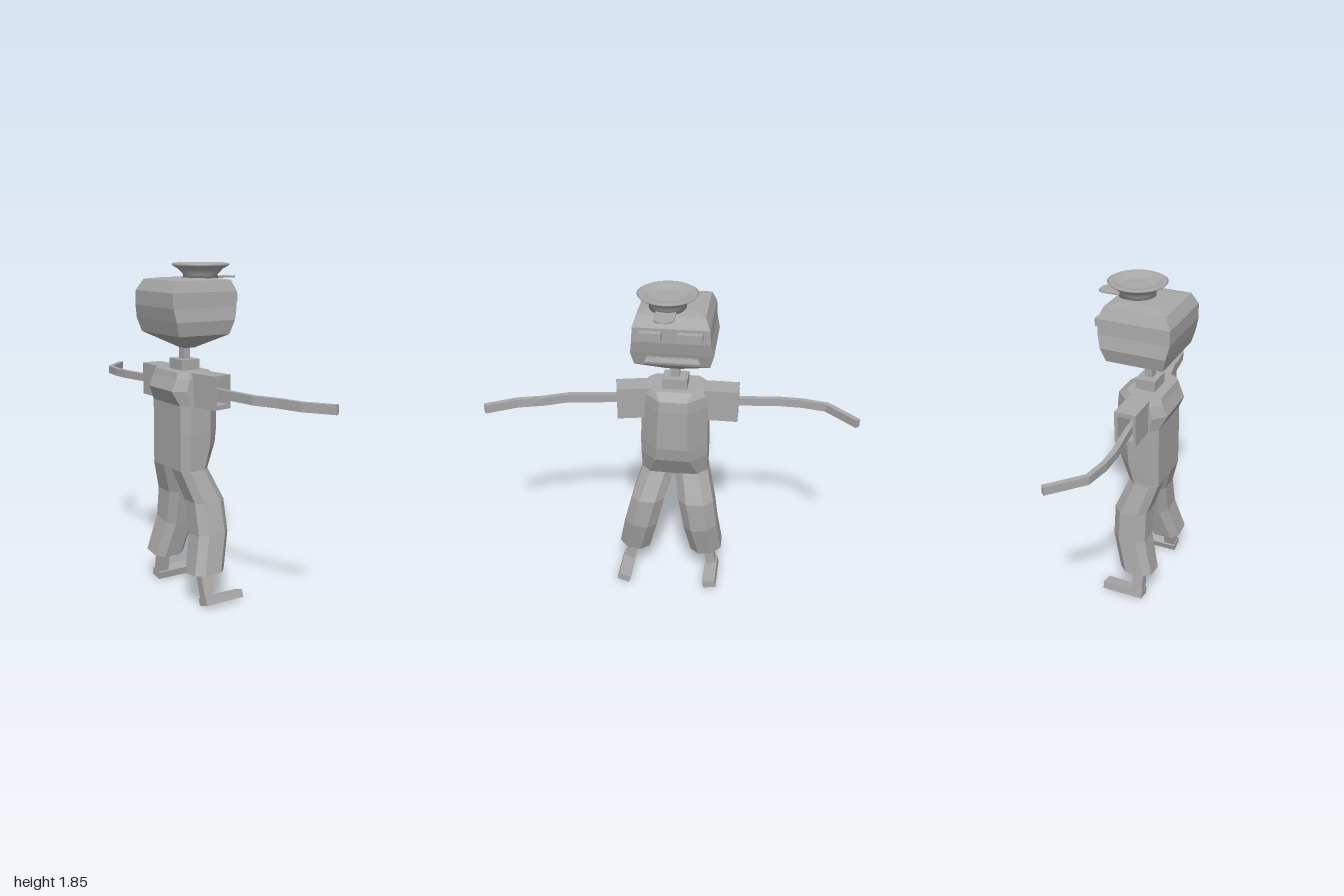
import * as THREE from 'three';

const grey = new THREE.MeshStandardMaterial({ color: 0xa8a8a8 });
grey.name = 'plain grey';

// Flat-shaded skin through cross-sections listed counter-clockwise along the direction of travel
function loft(rings, { capStart = true, capEnd = true, skip = () => false } = {}) {
  const pos = [];
  const tri = (a, b, c) => pos.push(...a, ...b, ...c);
  const n = rings[0].length;
  for (let r = 0; r < rings.length - 1; r++) {
    for (let i = 0; i < n; i++) {
      if (skip(r, i)) continue;
      const j = (i + 1) % n, lo = rings[r], hi = rings[r + 1];
      tri(lo[i], lo[j], hi[j]);
      tri(lo[i], hi[j], hi[i]);
    }
  }
  const first = rings[0], last = rings[rings.length - 1];
  for (let i = 1; i < n - 1; i++) {
    if (capStart) tri(first[0], first[i + 1], first[i]);
    if (capEnd) tri(last[0], last[i], last[i + 1]);
  }
  const g = new THREE.BufferGeometry();
  g.setAttribute('position', new THREE.Float32BufferAttribute(pos, 3));
  g.computeVertexNormals();
  return g;
}

// Horizontal rectangle and chamfered rectangle (front chamfer cf, back chamfer cb)
const rect = (y, x0, x1, z0, z1) => [[x1, y, z1], [x1, y, z0], [x0, y, z0], [x0, y, z1]];
const oct = (y, x0, x1, z0, z1, cf, cb, tilt = 0) => [
  [x1, z1 - cf], [x1, z0 + cf], [x1 - cf, z0], [x0 + cb, z0],
  [x0, z0 + cb], [x0, z1 - cb], [x0 + cb, z1], [x1 - cf, z1],
].map(([x, z]) => [x, y + tilt * (z - (z0 + z1) / 2), z]);

// Flat strap arm following [x, y, z] points with z rising
function armGeometry(path, w, h) {
  return loft(path.map(([x, y, z], i) => {
    const a = path[Math.max(0, i - 1)], b = path[Math.min(path.length - 1, i + 1)];
    const len = Math.hypot(b[0] - a[0], b[2] - a[2]);
    const nx = w * (b[2] - a[2]) / len, nz = -w * (b[0] - a[0]) / len;
    return [[1, -1], [1, 1], [-1, 1], [-1, -1]].map(([s, t]) => [x + s * nx, y + t * h, z + s * nz]);
  }));
}

export function createModel() {
  const model = new THREE.Group();
  model.name = 'figure';
  const add = (name, geometry, parent = model) => {
    const m = new THREE.Mesh(geometry, grey);
    m.name = name;
    parent.add(m);
    return m;
  };
  const box = (name, x0, x1, y0, y1, z0, z1, parent) => {
    const m = add(name, new THREE.BoxGeometry(x1 - x0, y1 - y0, z1 - z0), parent);
    m.position.set((x0 + x1) / 2, (y0 + y1) / 2, (z0 + z1) / 2);
    return m;
  };

  // Head, with the mouth strip left open at the front
  add('head', loft([
    rect(1.395, -0.07, -0.01, -0.04, 0.025),
    rect(1.475, -0.205, 0.11, -0.21, 0.185),
    rect(1.55, -0.225, 0.135, -0.23, 0.2),
    rect(1.62, -0.24, 0.152, -0.215, 0.19),
    rect(1.7, -0.24, 0.155, -0.21, 0.185),
    rect(1.76, -0.205, 0.13, -0.185, 0.165),
    rect(1.77, -0.13, 0.06, -0.11, 0.1),
  ], { skip: (r, i) => r === 1 && i === 0 }));
  add('mouth', loft([
    [[0.11, 1.475, 0.185], [0.11, 1.475, -0.21], [0.135, 1.55, -0.23], [0.135, 1.55, 0.2]],
    [[0.115, 1.49, 0.13], [0.115, 1.49, -0.16], [0.13, 1.535, -0.145], [0.13, 1.535, 0.115]],
    [[0.06, 1.49, 0.13], [0.06, 1.49, -0.16], [0.06, 1.535, -0.145], [0.06, 1.535, 0.115]],
  ], { capStart: false }));
  box('leftEye', 0.13, 0.186, 1.643, 1.685, 0.035, 0.147);
  box('rightEye', 0.13, 0.186, 1.643, 1.685, -0.175, -0.05);

  // Hat with dished crown and a thin peak
  const profile = [[0, 1.765], [0.098, 1.765], [0.092, 1.785], [0.12, 1.815], [0.15, 1.832],
    [0.157, 1.84], [0.145, 1.847], [0.115, 1.84], [0.085, 1.822], [0.05, 1.828], [0, 1.83]];
  const hat = add('hat', new THREE.LatheGeometry(profile.map(p => new THREE.Vector2(...p)), 32));
  hat.position.set(0.032, 0, 0.018);
  const peak = new THREE.Shape([[0.08, -0.035], [0.215, -0.035], [0.24, -0.012], [0.24, 0.045],
    [0.215, 0.068], [0.08, 0.068]].map(p => new THREE.Vector2(...p)));
  const peakGeo = new THREE.ExtrudeGeometry(peak, { depth: 0.009, bevelEnabled: false });
  add('hatPeak', peakGeo.rotateX(Math.PI / 2)).position.y = 1.775;

  // Neck and collar
  box('neck', -0.073, -0.032, 1.3, 1.41, -0.035, 0.014);
  box('collar', -0.107, 0.005, 1.265, 1.335, -0.08, 0.055);

  // Torso
  add('torso', loft([
    oct(0.74, -0.165, 0.01, -0.195, 0.175, 0.05, 0.04),
    oct(0.87, -0.165, 0.085, -0.197, 0.175, 0.09, 0.04),
    oct(0.95, -0.165, 0.1, -0.197, 0.175, 0.1, 0.04),
    oct(1.1, -0.165, 0.1, -0.195, 0.17, 0.1, 0.04),
    oct(1.18, -0.203, 0.1, -0.195, 0.165, 0.1, 0.06),
    oct(1.245, -0.175, 0.095, -0.19, 0.16, 0.1, 0.05),
    oct(1.278, -0.165, 0.04, -0.17, 0.145, 0.06, 0.04),
  ]));

  // Trouser legs: hollow, listed from the inside lining round the hem and up the outside
  const trousers = (name, tilt, [hemA, hemB], [lowA, lowB], [kneeA, kneeB], [topA, topB]) =>
    add(name, loft([
      oct(0.4, -0.09, 0.06, lowA + 0.02, lowB - 0.02, 0.045, 0.035, tilt),
      oct(0.185, -0.148, 0.01, hemA + 0.015, hemB - 0.015, 0.045, 0.035, tilt),
      oct(0.185, -0.165, 0.027, hemA, hemB, 0.05, 0.04, tilt),
      oct(0.39, -0.112, 0.08, lowA, lowB, 0.05, 0.04, tilt),
      oct(0.57, -0.112, 0.08, kneeA, kneeB, 0.05, 0.04),
      oct(0.745, -0.165, 0.01, topA, topB, 0.05, 0.04),
      oct(0.83, -0.15, 0.01, topA + 0.012, topB - 0.012, 0.05, 0.04),
    ]));
  trousers('leftTrouserLeg', 0.14, [0.14, 0.318], [0.088, 0.275], [0.043, 0.232], [-0.01, 0.175]);
  trousers('rightTrouserLeg', -0.14, [-0.288, -0.11], [-0.262, -0.07], [-0.24, -0.038], [-0.198, -0.01]);

  // Shins and feet, leaning outwards
  for (const [side, z, lean] of [['left', 0.282, -0.32], ['right', -0.238, 0.17]]) {
    const leg = new THREE.Group();
    leg.name = side + 'LowerLeg';
    leg.position.set(0, 0.012, z);
    leg.rotation.x = lean;
    model.add(leg);
    box(side + 'Shin', -0.11, -0.048, 0.02, 0.42, -0.027, 0.027, leg);
    box(side + 'Foot', -0.113, 0.128, 0, 0.043, -0.037, 0.037, leg);
  }

  // Open box sleeves, mouth facing outwards
  const outline = (w, h, C) => {
    const s = new C();
    s.moveTo(-w, -h).lineTo(w, -h).lineTo(w, h).lineTo(-w, h).closePath();
    return s;
  };
  const cuff = outline(0.06, 0.09, THREE.Shape);
  cuff.holes.push(outline(0.042, 0.066, THREE.Path));
  for (const [name, x, z, turn] of [['leftSleeve', -0.05, 0.125, 0.2], ['rightSleeve', -0.06, -0.17, Math.PI]]) {
    const sleeve = add(name, new THREE.ExtrudeGeometry(cuff, { depth: 0.185, bevelEnabled: false }));
    sleeve.position.set(x, 1.187, z);
    sleeve.rotation.y = turn;
  }

  // Arms
  add('leftArm', armGeometry([[-0.05, 1.185, 0.14], [-0.035, 1.185, 0.3], [0, 1.185, 0.57],
    [0.055, 1.185, 0.7], [0.092, 1.185, 0.835], [0.18, 1.187, 0.99]], 0.014, 0.024));
  add('rightArm', armGeometry([[0.065, 1.174, -0.99], [-0.085, 1.176, -0.83], [-0.108, 1.178, -0.7],
    [-0.108, 1.18, -0.58], [-0.082, 1.183, -0.36], [-0.07, 1.185, -0.16]], 0.014, 0.022));

  return model;
}
